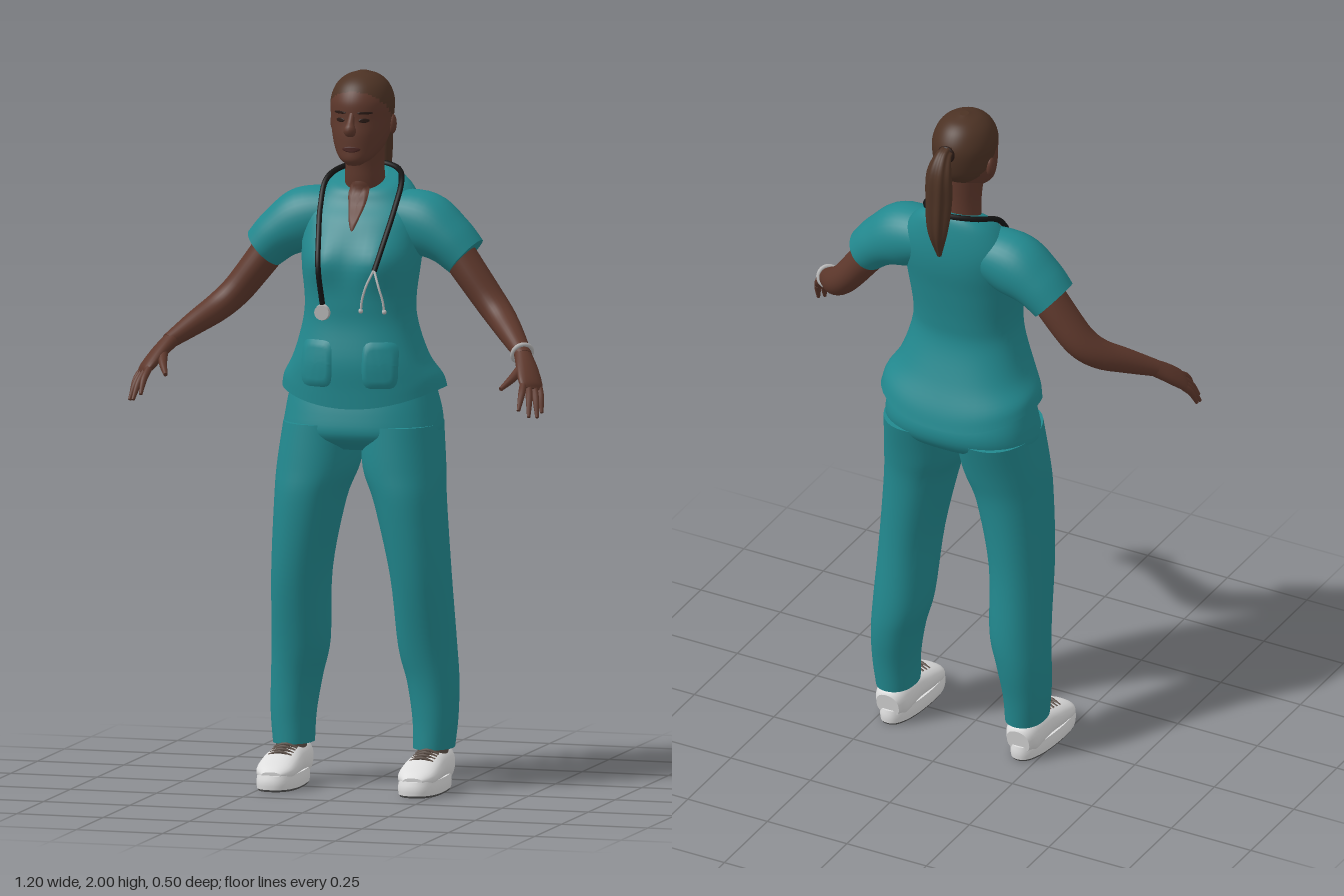
import * as THREE from 'three';

const mat = (name, color, side = THREE.FrontSide) => {
  const m = new THREE.MeshStandardMaterial({ color, side });
  m.name = name;
  return m;
};
const V = (x, y, z) => new THREE.Vector3(x, y, z);

// Smooth skin through elliptical sections [x, y, z, a, b]; b runs along ref, a across it.
function loft(rings, { s = 1, ref = [0, 0, 1], flat = false, exp = 2, seg = 28, sub = 5, ridge = 0, deform } = {}) {
  const centres = new THREE.CatmullRomCurve3(rings.map(r => V(r[0] * s, r[1], r[2])), false, 'catmullrom');
  const radii = new THREE.CatmullRomCurve3(rings.map(r => V(r[3], r[4], 0)), false, 'catmullrom');
  const rows = (rings.length - 1) * sub, pos = [], idx = [];
  const axis = V(ref[0] * s, ref[1], ref[2]).normalize();
  for (let i = 0; i <= rows; i++) {
    const c = centres.getPoint(i / rows), r = radii.getPoint(i / rows);
    const t = flat ? V(0, 1, 0) : centres.getTangent(i / rows);
    const w = t.clone().cross(axis).normalize(), n = w.clone().cross(t);
    for (let j = 0; j < seg; j++) {
      const q = j / seg * Math.PI * 2, cq = Math.cos(q), sq = Math.sin(q);
      const k = (1 + ridge * Math.cos(q * 7)) / (Math.abs(cq) ** exp + Math.abs(sq) ** exp) ** (1 / exp);
      const p = c.clone().addScaledVector(w, r.x * k * cq).addScaledVector(n, r.y * k * sq);
      if (deform) deform(p);
      pos.push(p.x, p.y, p.z);
    }
  }
  for (let i = 0; i < rows; i++) for (let j = 0; j < seg; j++) {
    const a = i * seg + j, b = i * seg + (j + 1) % seg;
    idx.push(a, a + seg, b, b, a + seg, b + seg);
  }
  // Flat end caps with their own corners
  for (const end of [0, rows]) {
    const start = pos.length / 3, mid = V(0, 0, 0);
    for (let j = 0; j < seg; j++) {
      const o = (end * seg + j) * 3;
      mid.add(V(pos[o], pos[o + 1], pos[o + 2]));
      pos.push(pos[o], pos[o + 1], pos[o + 2]);
    }
    mid.divideScalar(seg);
    pos.push(mid.x, mid.y, mid.z);
    for (let j = 0; j < seg; j++) {
      const a = start + j, b = start + (j + 1) % seg;
      end ? idx.push(a, start + seg, b) : idx.push(a, b, start + seg);
    }
  }
  const g = new THREE.BufferGeometry();
  g.setAttribute('position', new THREE.Float32BufferAttribute(pos, 3));
  g.setIndex(idx);
  g.computeVertexNormals();
  return g;
}

export function createModel() {
  const model = new THREE.Group();
  const skin = mat('skin', 0x5e382c), hair = mat('hair', 0x4c3224), teal = mat('scrubs teal', 0x22888e);
  const black = mat('rubber black', 0x141414), metal = mat('metal', 0xb4b4b4), white = mat('shoe white', 0xdedede);
  const lace = mat('lace brown', 0x5a4d45), tread = mat('tread grey', 0x555555);
  const dark = mat('brow dark', 0x2a1a15), lip = mat('lip', 0x4a2622);
  const add = (name, g, m) => {
    const mesh = new THREE.Mesh(g, m);
    mesh.name = name;
    model.add(mesh);
    return mesh;
  };
  const tube = (pts, r, n = 24) => new THREE.TubeGeometry(new THREE.CatmullRomCurve3(pts), n, r, 8);

  // Shirt: raised side hem, bust, and a neckline sloping down to the front
  const torso = add('shirt', loft([
    [0, 1.07, -.082, .23, .163], [0, 1.12, -.073, .22, .157], [0, 1.2, -.053, .19, .142], [0, 1.3, -.043, .161, .118],
    [0, 1.37, -.043, .155, .119], [0, 1.47, -.051, .166, .126], [0, 1.55, -.073, .17, .119],
    [0, 1.61, -.09, .165, .105], [0, 1.66, -.098, .135, .088], [0, 1.69, -.098, .1, .075], [0, 1.7, -.1, .058, .058],
  ], {
    flat: true, exp: 2.35, seg: 48, deform: p => {
      const low = THREE.MathUtils.smoothstep(1.25 - p.y, 0, .18);
      const top = THREE.MathUtils.smoothstep(p.y, 1.58, 1.7);
      if (p.z > 0) p.z += .022 * Math.exp(-(((Math.abs(p.x) - .08) / .05) ** 2) - ((p.y - 1.48) / .06) ** 2);
      p.y += low * .05 * (p.x / .23) ** 2 - (p.z + .1) * .4 * top;
    },
  }), teal);
  const neck = add('neck', loft([
    [0, 1.62, -.1, .06, .06], [0, 1.69, -.086, .056, .06], [0, 1.75, -.08, .054, .06], [0, 1.83, -.07, .06, .07],
  ], { flat: true }), skin);

  // Head, with the scalp split off as a second material
  const headGeo = loft([
    [0, 1.745, .022, .018, .016], [0, 1.762, 0, .045, .05], [0, 1.79, -.03, .066, .08], [0, 1.83, -.05, .079, .1],
    [0, 1.87, -.06, .085, .105], [0, 1.92, -.062, .087, .105], [0, 1.96, -.063, .073, .086],
    [0, 1.985, -.065, .047, .056], [0, 1.998, -.066, .012, .014],
  ], { flat: true, seg: 48, sub: 8 });
  const face = [], scalp = [], hp = headGeo.attributes.position, hi = headGeo.index.array;
  for (let i = 0; i < hi.length; i += 3) {
    const tri = [hi[i], hi[i + 1], hi[i + 2]], mean = f => tri.reduce((a, k) => a + f(k), 0) / 3;
    (mean(k => hp.getY(k)) > 1.925 + .85 * mean(k => hp.getZ(k)) ? scalp : face).push(...tri);
  }
  headGeo.setIndex([...face, ...scalp]);
  headGeo.addGroup(0, face.length, 0);
  headGeo.addGroup(face.length, scalp.length, 1);
  const head = add('head', headGeo, [skin, hair]);

  // Finds the front surface so that thin details can lie on it
  model.updateMatrixWorld(true);
  const ray = new THREE.Raycaster();
  const frontZ = (x, y, targets = [torso, neck], miss = -.04) => {
    ray.set(V(x, y, 2), V(0, 0, -1));
    const hit = ray.intersectObjects(targets, false)[0];
    return hit ? hit.point.z : miss;
  };
  const patch = (name, m, targets, cx, cy, rx, ry, exp = 2, lift = .003, warp = () => 1) => {
    const g = new THREE.RingGeometry(.001, 1, 36, 6), p = g.attributes.position;
    for (let i = 0; i < p.count; i++) {
      const u = p.getX(i), v = p.getY(i), r = Math.hypot(u, v);
      const k = r / (Math.abs(u) ** exp + Math.abs(v) ** exp) ** (1 / exp);
      const x = cx + u * k * rx * warp(v), y = cy + v * k * ry;
      p.setXYZ(i, x, y, frontZ(x, y, targets) + (r > .9 ? lift * .3 : lift));
    }
    g.computeVertexNormals();
    return add(name, g, m);
  };
  patch('neckOpening', skin, [torso, neck], 0, 1.628, .04, .066, 2.5, .005, v => .6 + .4 * v);
  for (const s of [1, -1]) {
    patch('pocket', teal, [torso], s * .092, 1.195, .048, .065, 5, .009);
    patch('eye', dark, [head], s * .034, 1.872, .014, .006);
    patch('eyebrow', dark, [head], s * .036, 1.893, .02, .004);
  }
  patch('mouth', lip, [head], 0, 1.792, .026, .008);
  add('nose', loft([
    [0, 1.895, .036, .007, .006], [0, 1.865, .052, .011, .012], [0, 1.846, .059, .018, .018], [0, 1.832, .05, .012, .008],
  ], { seg: 16 }), skin);

  // Ponytail and its tie
  add('ponytail', loft([
    [0, 1.915, -.15, .016, .018], [0, 1.925, -.185, .02, .022], [0, 1.88, -.213, .027, .034],
    [0, 1.8, -.215, .033, .036], [0, 1.7, -.222, .025, .028], [0, 1.615, -.212, .006, .006],
  ], { ref: [1, 0, 0], ridge: .09, seg: 42, sub: 7 }), hair);
  add('hairTie', new THREE.TorusGeometry(.02, .006, 8, 20).translate(0, 1.921, -.172), dark);

  // Trousers
  add('hips', loft([
    [0, 1.14, -.07, .2, .12], [0, 1.05, -.077, .219, .151], [0, .99, -.065, .222, .142], [0, .95, -.05, .19, .08],
  ].reverse(), { flat: true, exp: 2.35, seg: 48 }), teal);

  for (const s of [1, -1]) {
    const limb = (name, m, rings, o = {}) => add(name, loft(rings, { s, ...o }), m);
    limb('trouserLeg', teal, [
      [.203, .115, -.075, .055, .075], [.205, .2, -.08, .061, .081], [.197, .3, -.085, .069, .092],
      [.183, .4, -.078, .078, .102], [.172, .6, -.05, .08, .115], [.145, .8, -.042, .096, .127],
      [.124, .9, -.052, .112, .134], [.112, 1.02, -.072, .11, .146],
    ], { flat: true, exp: 2.2, seg: 36 });

    // Sleeve, arm and hand
    limb('sleeve', teal, [
      [.07, 1.6, -.097, .07, .078], [.17, 1.574, -.09, .09, .088], [.24, 1.535, -.086, .074, .084], [.292, 1.488, -.085, .063, .076],
    ], { seg: 36 });
    limb('arm', skin, [
      [.25, 1.52, -.085, .05, .052], [.31, 1.44, -.08, .046, .054], [.365, 1.37, -.07, .043, .051],
      [.41, 1.325, -.04, .04, .044], [.46, 1.285, .02, .033, .036], [.515, 1.24, .09, .022, .025],
    ]);
    const spread = [-.6, .18, .78];
    limb('palm', skin, [
      [.508, 1.246, .082, .022, .025], [.535, 1.21, .125, .02, .035], [.556, 1.176, .163, .016, .038], [.565, 1.162, .176, .007, .03],
    ], { ref: spread, seg: 20 });
    const tips = [[.595, 1.1, .185], [.59, 1.09, .213], [.573, 1.094, .236], [.547, 1.112, .248]];
    tips.forEach((t, i) => {
      const k = (i - 1.5) * .018, b = [.558, 1.172, .165].map((c, a) => c + spread[a] * k);
      const mid = b.map((c, a) => (c + t[a]) / 2 + (a === 1 ? .006 : .002));
      limb('finger', skin, [[...b, .01, .01], [...mid, .0095, .0095], [...t, .005, .005]], { ref: spread, seg: 10 });
    });
    limb('thumb', skin, [
      [.525, 1.225, .11, .016, .016], [.507, 1.192, .17, .012, .012], [.485, 1.165, .215, .006, .006],
    ], { ref: [0, 1, 0], seg: 12 });
    add('ear', new THREE.SphereGeometry(1, 14, 10).scale(.011, .028, .017).translate(s * .084, 1.852, -.07), skin);

    // Shoe: tread, sole, upper, sock and laces
    const shape = p => { p.x = s * .205 + (p.x - s * .205) * (1 + p.z * 1.1); };
    const sole = { flat: true, exp: 2.5, seg: 40, sub: 2, deform: shape };
    limb('tread', tread, [[.205, 0, .003, .053, .137], [.205, .006, .003, .055, .14]], sole);
    limb('sole', white, [[.205, .006, .003, .056, .141], [.205, .025, .003, .058, .143], [.205, .045, .002, .055, .139]], sole);
    limb('shoeUpper', white, [
      [.205, .06, -.134, .035, .038], [.205, .068, -.1, .05, .055], [.205, .068, -.02, .052, .046],
      [.205, .062, .04, .057, .038], [.205, .05, .1, .053, .027], [.205, .045, .134, .028, .01],
    ], { ref: [0, 1, 0], exp: 2.3 });
    limb('sock', lace, [[.205, .08, -.05, .042, .058], [.205, .14, -.066, .042, .055]], { flat: true });
    for (let i = 0; i < 4; i++) {
      const z = -.005 + i * .018, y = .116 - i * .005;
      add('shoelace', tube([V(s * .172, y - .012, z), V(s * .205, y, z + .004), V(s * .238, y - .012, z)], .005, 8), lace);
    }
  }

  // Bracelet on the left wrist
  const bracelet = add('bracelet', new THREE.TorusGeometry(.029, .006, 8, 24), metal);
  bracelet.position.set(.505, 1.248, .078);
  bracelet.quaternion.setFromUnitVectors(V(0, 0, 1), V(.53, -.42, .7).normalize());

  // Stethoscope: hose round the neck, chest piece and ear pieces
  const on = (x, y) => V(x, y, frontZ(x, y) + .007);
  add('stethoscopeHose', tube([
    on(-.075, 1.36), on(-.082, 1.46), on(-.095, 1.55), on(-.107, 1.62), V(-.108, 1.69, -.075), V(-.075, 1.718, -.145),
    V(0, 1.727, -.178), V(.075, 1.718, -.145), V(.108, 1.69, -.075), on(.107, 1.62), on(.098, 1.55), on(.08, 1.46),
  ], .008, 90), black);
  add('chestPiece', new THREE.CylinderGeometry(.021, .023, .014, 24).rotateX(Math.PI / 2)
    .translate(-.075, 1.337, frontZ(-.075, 1.337) + .01), metal);
  const fork = on(.08, 1.465);
  for (const d of [-1, 1]) {
    const tip = V(.08 + d * .034, 1.35, .105);
    add('earTube', tube([fork, V(.08 + d * .018, 1.42, .108), V(.08 + d * .03, 1.38, .107), tip], .0035), metal);
    add('earTip', new THREE.SphereGeometry(.007, 10, 8).translate(tip.x, tip.y, tip.z), metal);
  }
  return model;
}
